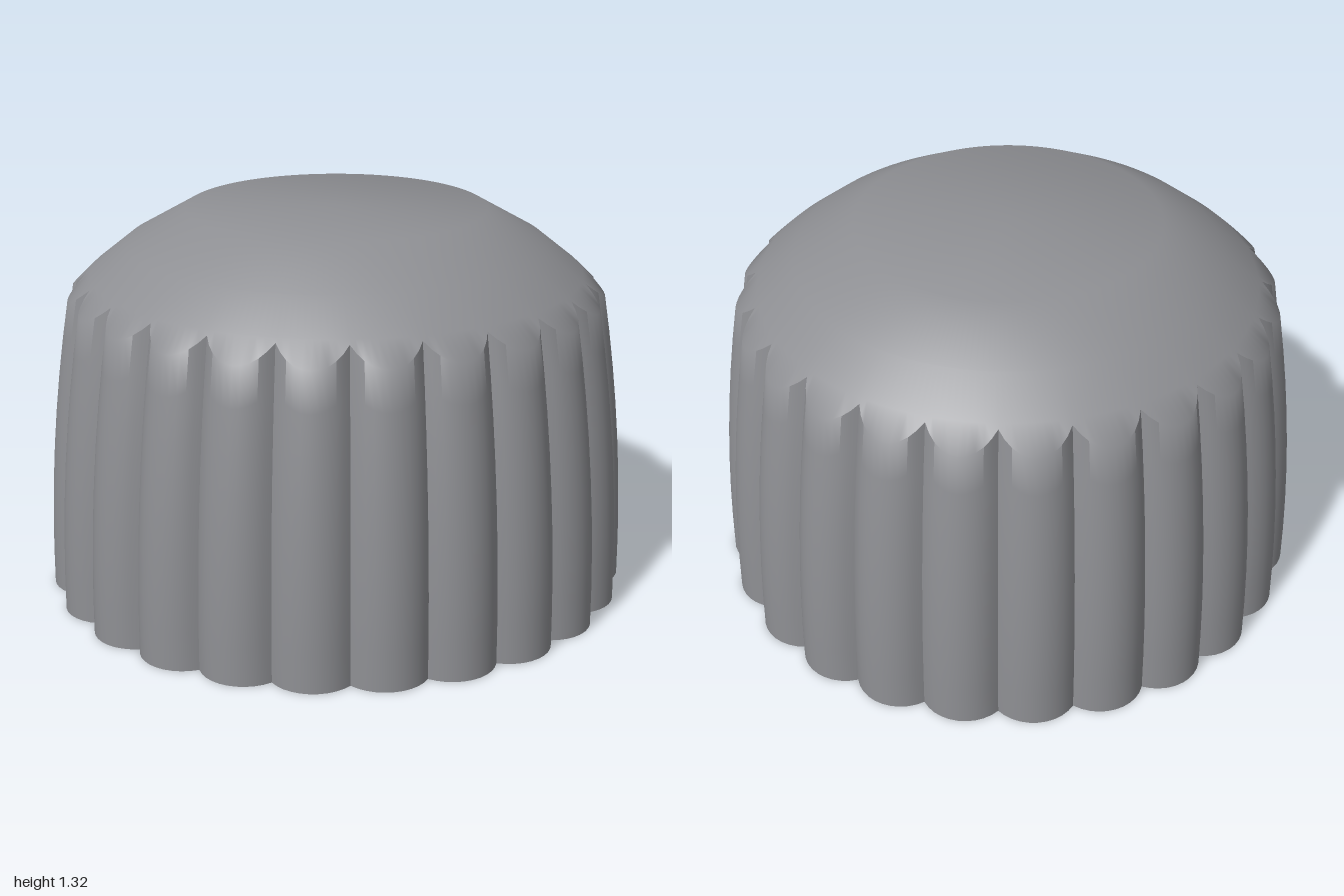
import * as THREE from 'three';
import { toCreasedNormals } from 'three/addons/utils/BufferGeometryUtils.js';

const LOBES = 24, STEPS = 10;
const SPHERE_R = 1.25, SPHERE_Y = 0.175, TOP_Y = 1.315;
const HOLE_R = 0.175, HOLE_FLAT = -0.08, HOLE_DEPTH = 0.8;

const taper = (y) => 1 - 0.085 * y * y;
const domeRadius = (y) => Math.sqrt(SPHERE_R ** 2 - (y - SPHERE_Y) ** 2);

// Scalloped outline: a ring of circular arcs meeting in sharp grooves
function scallopOutline() {
  const points = [], arcR = 0.1495, arcCentre = 0.8585, half = 0.978;
  for (let i = 0; i < LOBES; i++) {
    const turn = ((i + 0.5) / LOBES) * Math.PI * 2;
    for (let j = 0; j < STEPS; j++) {
      const a = half * ((2 * j) / STEPS - 1);
      points.push(new THREE.Vector2(arcCentre + arcR * Math.cos(a), arcR * Math.sin(a))
        .rotateAround(new THREE.Vector2(), turn));
    }
  }
  return points;
}

// D-shaped shaft outline
function shaftOutline() {
  const start = Math.asin(HOLE_FLAT / HOLE_R), points = [];
  for (let i = 0; i <= 28; i++) {
    const a = start + ((Math.PI - 2 * start) * i) / 28;
    points.push(new THREE.Vector2(HOLE_R * Math.cos(a), HOLE_R * Math.sin(a)));
  }
  return points;
}

// Skin between closed rings listed from bottom to top
function loft(rings, crease) {
  const n = rings[0].length, index = [];
  for (let i = 0; i < rings.length - 1; i++) {
    for (let j = 0; j < n; j++) {
      const a = i * n + j, b = i * n + ((j + 1) % n);
      index.push(a, a + n, b + n, a, b + n, b);
    }
  }
  const geometry = new THREE.BufferGeometry();
  geometry.setAttribute('position', new THREE.Float32BufferAttribute(rings.flat(2), 3));
  geometry.setIndex(index);
  return toCreasedNormals(geometry, crease);
}

// Height at which a tapering flute line runs into the dome
function meetingHeight(radius) {
  let low = 0.7, high = 1.3;
  for (let i = 0; i < 30; i++) {
    const mid = (low + high) / 2;
    if (radius * taper(mid) < domeRadius(mid)) low = mid;
    else high = mid;
  }
  return low;
}

export function createModel() {
  const group = new THREE.Group();
  const grey = new THREE.MeshStandardMaterial({ color: 0x8e8f93 });
  grey.name = 'grey';
  const add = (name, geometry) => {
    const mesh = new THREE.Mesh(geometry, grey);
    mesh.name = name;
    group.add(mesh);
  };

  const outline = scallopOutline();
  const tops = outline.map((p) => meetingHeight(p.length()));

  // Fluted side, following the taper up to the dome
  const rings = [];
  for (let i = 0; i <= 8; i++) {
    rings.push(outline.map((p, j) => {
      const y = (tops[j] * i) / 8, s = taper(y);
      return [p.x * s, y, p.y * s];
    }));
  }
  // Shallow dome with a flat crown
  for (const y of [1.1, 1.2, TOP_Y]) {
    rings.push(outline.map((p) => {
      const s = domeRadius(y) / p.length();
      return [p.x * s, y, p.y * s];
    }));
  }
  rings.push(outline.map(() => [0, TOP_Y, 0]));
  add('flutedKnob', loft(rings, 0.8));

  // Flat underside with the shaft opening
  const shaft = shaftOutline();
  const baseShape = new THREE.Shape(outline);
  baseShape.holes.push(new THREE.Path(shaft));
  add('underside', new THREE.ShapeGeometry(baseShape).rotateX(Math.PI / 2));

  // Shaft socket: inward-facing wall and its closed end
  const inward = [...shaft].reverse();
  add('shaftSocketWall', loft([0, HOLE_DEPTH].map((y) => inward.map((p) => [p.x, y, p.y])), 0.6));
  add('shaftSocketEnd', new THREE.ShapeGeometry(new THREE.Shape(shaft))
    .rotateX(Math.PI / 2).translate(0, HOLE_DEPTH, 0));

  return group;
}
